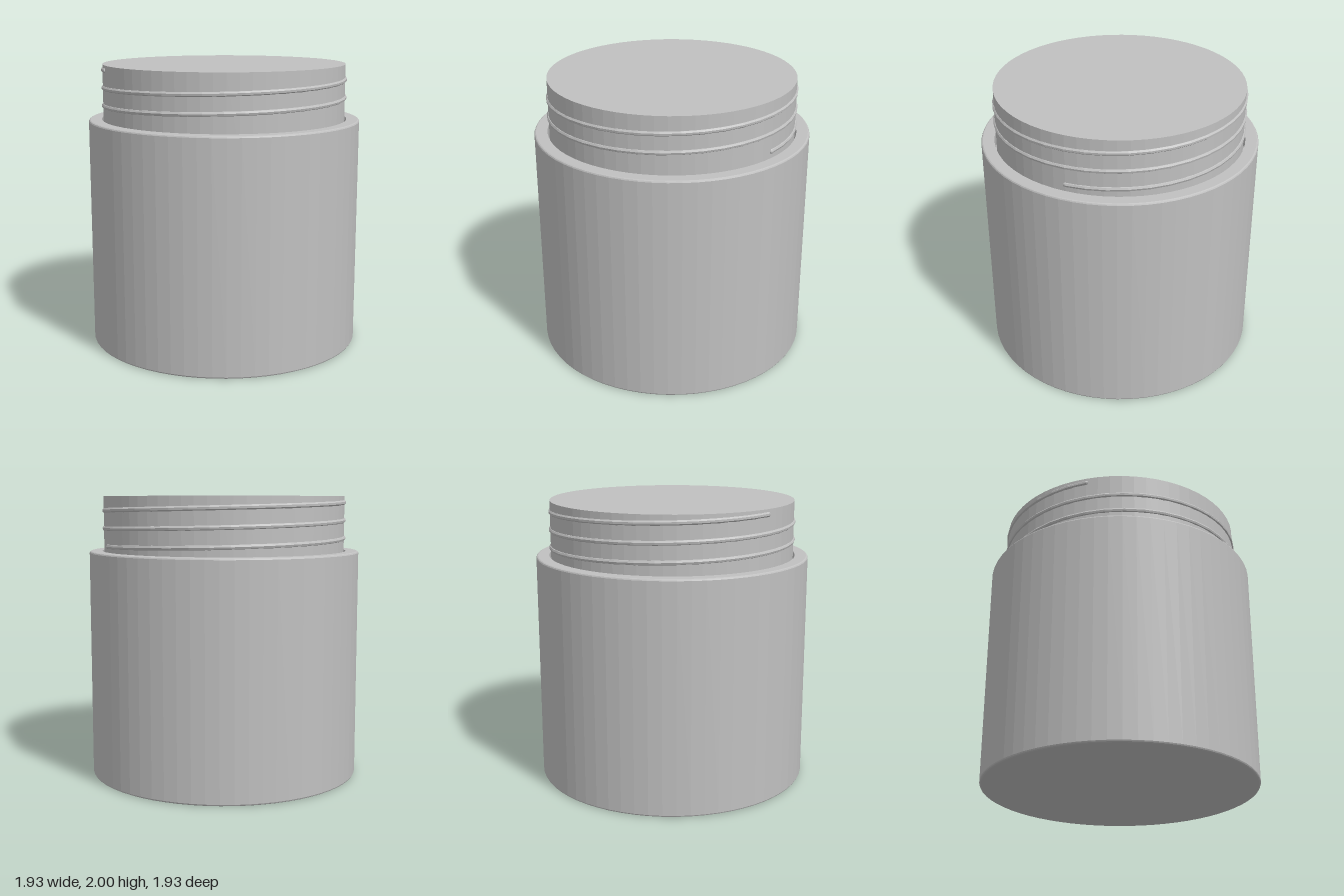
import * as THREE from 'three';

const SIDES = 64;

// Helical thread path, rising from +x towards the back
class Helix extends THREE.Curve {
  constructor(radius, start, pitch, turns) {
    super();
    Object.assign(this, { radius, start, pitch, turns });
  }
  getPoint(t, target = new THREE.Vector3()) {
    const a = t * this.turns * Math.PI * 2;
    return target.set(
      this.radius * Math.cos(a),
      this.start + this.pitch * this.turns * t,
      -this.radius * Math.sin(a)
    );
  }
}

export function createModel() {
  const grey = new THREE.MeshStandardMaterial({ color: 0xc0c0c0 });
  grey.name = 'grey';
  grey.flatShading = true;

  const model = new THREE.Group();
  model.name = 'threadedJar';

  const add = (name, geometry) => {
    const mesh = new THREE.Mesh(geometry, grey);
    mesh.name = name;
    model.add(mesh);
    return mesh;
  };
  const lathe = (points) =>
    new THREE.LatheGeometry(points.map(([x, y]) => new THREE.Vector2(x, y)), SIDES);

  // Jar body with softened edges and a narrow gap around the neck
  add('body', lathe([
    [0, 0], [0.953, 0], [0.961, 0.004], [0.965, 0.012],
    [0.965, 1.6], [0.961, 1.608], [0.953, 1.612],
    [0.874, 1.612], [0.874, 1.5], [0, 1.5],
  ]));

  // Closed neck
  add('neck', lathe([[0.861, 1.49], [0.861, 2], [0, 2]]));

  // Screw thread, half sunk into the neck, with rounded ends
  const helix = new Helix(0.855, 1.65, 0.126, 2.5);
  const r = 0.018;
  add('thread', new THREE.TubeGeometry(helix, 100, r, 8, false));
  for (const t of [0, 1]) {
    add('threadEnd', new THREE.SphereGeometry(r, 8, 6)).position.copy(helix.getPoint(t));
  }

  return model;
}
